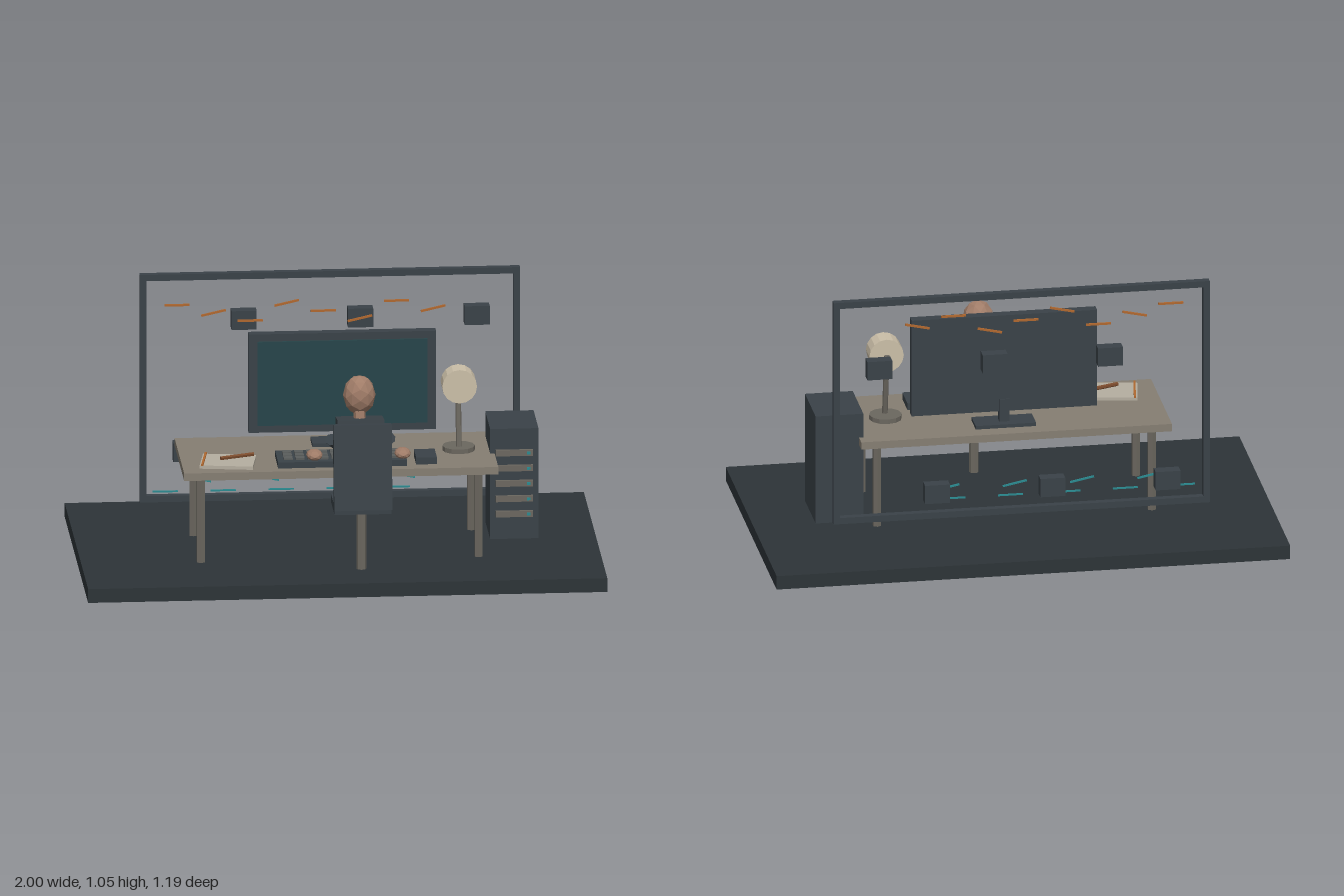
import * as THREE from 'three';

const COLORS = {
  floor: 0x2d3438, dark: 0x3a4248, black: 0x23282b, wood: 0x857e72, metal: 0x6b675f, skin: 0xa07c68,
  shade: 0xcbbfa8, paper: 0xb5aea0, key: 0x5a5d5c, screen: 0x27454a, orange: 0xb0682f, teal: 0x2a8a90, pencil: 0x7a4a2c,
};
const mats = {};
for (const k in COLORS) mats[k] = new THREE.MeshStandardMaterial({ color: COLORS[k], flatShading: true });

export function createModel() {
  const root = new THREE.Group();

  const add = (name, geo, mat, x, y, z, parent = root) => {
    const m = new THREE.Mesh(geo, mats[mat]);
    m.name = name;
    m.position.set(x, y, z);
    parent.add(m);
    return m;
  };
  const box = (name, mat, w, h, d, x, y, z, parent) =>
    add(name, new THREE.BoxGeometry(w, h, d), mat, x, y, z, parent);
  // Cylinder running between two points
  const rod = (name, mat, r, a, b, sides = 6, parent = root) => {
    const p = new THREE.Vector3(...a), q = new THREE.Vector3(...b);
    const dir = q.clone().sub(p);
    const m = add(name, new THREE.CylinderGeometry(r, r, dir.length(), sides), mat, 0, 0, 0, parent);
    m.position.copy(p).add(q).multiplyScalar(0.5);
    m.quaternion.setFromUnitVectors(new THREE.Vector3(0, 1, 0), dir.normalize());
    return m;
  };
  const group = (name, x = 0, y = 0, z = 0) => {
    const g = new THREE.Group();
    g.name = name;
    g.position.set(x, y, z);
    root.add(g);
    return g;
  };

  box('floor', 'floor', 2, 0.055, 1.19, 0, 0.0275, 0);

  // Desk
  const desk = group('desk');
  box('deskTop', 'wood', 1.21, 0.03, 0.49, -0.003, 0.41, 0.061, desk);
  for (const x of [-0.54, 0.53])
    for (const z of [-0.118, 0.252]) rod('deskLeg', 'metal', 0.0175, [x, 0.055, z], [x, 0.396, z], 6, desk);

  // Monitor
  const monitor = group('monitor', 0.028, 0, 0);
  box('monitorCase', 'dark', 0.722, 0.393, 0.04, 0, 0.677, -0.063, monitor);
  box('monitorScreen', 'screen', 0.655, 0.335, 0.01, 0, 0.677, -0.04, monitor);
  box('monitorNeck', 'dark', 0.04, 0.1, 0.035, 0, 0.48, -0.07, monitor);
  box('monitorBase', 'dark', 0.235, 0.014, 0.1, 0, 0.432, -0.07, monitor);

  // Keyboard with three rows of keys
  const keyboard = group('keyboard', 0.005, 0.441, 0.195);
  keyboard.rotation.x = 0.03;
  box('keyboardBody', 'dark', 0.497, 0.024, 0.15, 0, 0, 0, keyboard);
  for (let r = 0; r < 3; r++)
    for (let c = 0; c < 10; c++)
      box('key', 'key', 0.034, 0.008, 0.027, (c - 4.5) * 0.046, 0.015, (r - 1) * 0.038 - 0.005, keyboard);
  box('deskPad', 'dark', 0.08, 0.027, 0.12, 0.33, 0.439, 0.19);

  // Notebook and pencil
  const notebook = group('notebook', -0.43, 0.432, 0.18);
  notebook.rotation.y = -0.157;
  box('pages', 'paper', 0.205, 0.013, 0.163, 0, 0, 0, notebook);
  box('binding', 'orange', 0.008, 0.008, 0.17, -0.092, 0.009, 0, notebook);
  rod('pencil', 'pencil', 0.008, [-0.46, 0.453, 0.203], [-0.33, 0.453, 0.153]);

  // Lamp with a drum shade facing forward
  const lamp = group('lamp', 0.468, 0, 0);
  add('lampBase', new THREE.CylinderGeometry(0.063, 0.063, 0.018, 12), 'metal', 0, 0.434, 0.057, lamp);
  rod('lampStem', 'metal', 0.011, [0, 0.44, 0.07], [0, 0.695, 0.025], 8, lamp);
  rod('lampShade', 'shade', 0.067, [0, 0.692, 0.028], [0, 0.692, 0.111], 16, lamp);

  // Computer tower with five drive bays
  const tower = group('tower', 0.678, 0, 0);
  box('towerCase', 'dark', 0.186, 0.44, 0.248, 0, 0.302, -0.007, tower);
  for (let i = 0; i < 5; i++) {
    const y = 0.427 - i * 0.061;
    box('driveBay', 'metal', 0.144, 0.024, 0.012, 0, y, 0.122, tower);
    box('driveLight', 'teal', 0.014, 0.01, 0.007, 0.055, y, 0.13, tower);
  }

  // Chair
  const chair = group('chair', 0.068, 0, 0);
  rod('chairPost', 'metal', 0.019, [0, 0.055, 0.39], [0, 0.3, 0.39], 8, chair);
  box('seat', 'dark', 0.22, 0.033, 0.188, 0, 0.314, 0.389, chair);
  box('chairBack', 'dark', 0.224, 0.333, 0.037, 0, 0.48, 0.459, chair).rotation.x = -0.115;

  // Seated figure
  const figure = group('figure', 0.068, 0, 0);
  box('hips', 'dark', 0.17, 0.085, 0.098, 0, 0.396, 0.363, figure).rotation.x = -0.04;
  box('torso', 'dark', 0.18, 0.21, 0.115, 0, 0.53, 0.326, figure).rotation.x = -0.135;
  rod('neck', 'skin', 0.023, [0, 0.61, 0.312], [0, 0.69, 0.298], 8, figure);
  const head = add('head', new THREE.IcosahedronGeometry(0.063, 1), 'skin', 0, 0.719, 0.283, figure);
  head.scale.y = 1.27;
  head.rotation.x = 0.12;
  for (const s of [-1, 1]) {
    rod('arm', 'dark', 0.023, [s * 0.113, 0.56, 0.345], [s * 0.088, 0.51, 0.222], 8, figure);
    const hand = add('hand', new THREE.IcosahedronGeometry(0.032, 1), 'skin', s * 0.17, 0.472, 0.245, figure);
    hand.scale.set(1, 0.65, 1.45);
  }

  // Open rectangular frame behind the desk
  const frame = group('backFrame', -0.002, 0.597, -0.294);
  for (const s of [-1, 1]) {
    box('frameSide', 'dark', 0.025, 0.91, 0.028, s * 0.72, 0, 0, frame);
    box('frameRail', 'dark', 1.465, 0.025, 0.028, 0, s * 0.4425, 0, frame);
  }

  // Floating blocks, alternating low and high
  for (let i = 0; i < 6; i++)
    box('floatingBlock', 'dark', 0.097, 0.075, 0.047, -0.547 + i * 0.2245, i % 2 ? 0.823 : 0.3, -0.437);

  // Floating strips: orange above, teal below
  for (let i = 0; i < 8; i++)
    box('orangeStrip', 'orange', 0.097, 0.008, 0.007, -0.595 + i * 0.141, 0.942 - (i % 3) * 0.034, -0.235)
      .rotation.z = (i % 2) * 0.22;
  for (let i = 0; i < 5; i++) box('tealStrip', 'teal', 0.097, 0.006, 0.006, -0.64 + i * 0.2235, 0.196, -0.241);
  for (let i = 0; i < 4; i++)
    box('tealStrip', 'teal', 0.095, 0.007, 0.006, -0.51 + i * 0.262, 0.242, -0.241).rotation.z = -0.2;

  return root;
}
